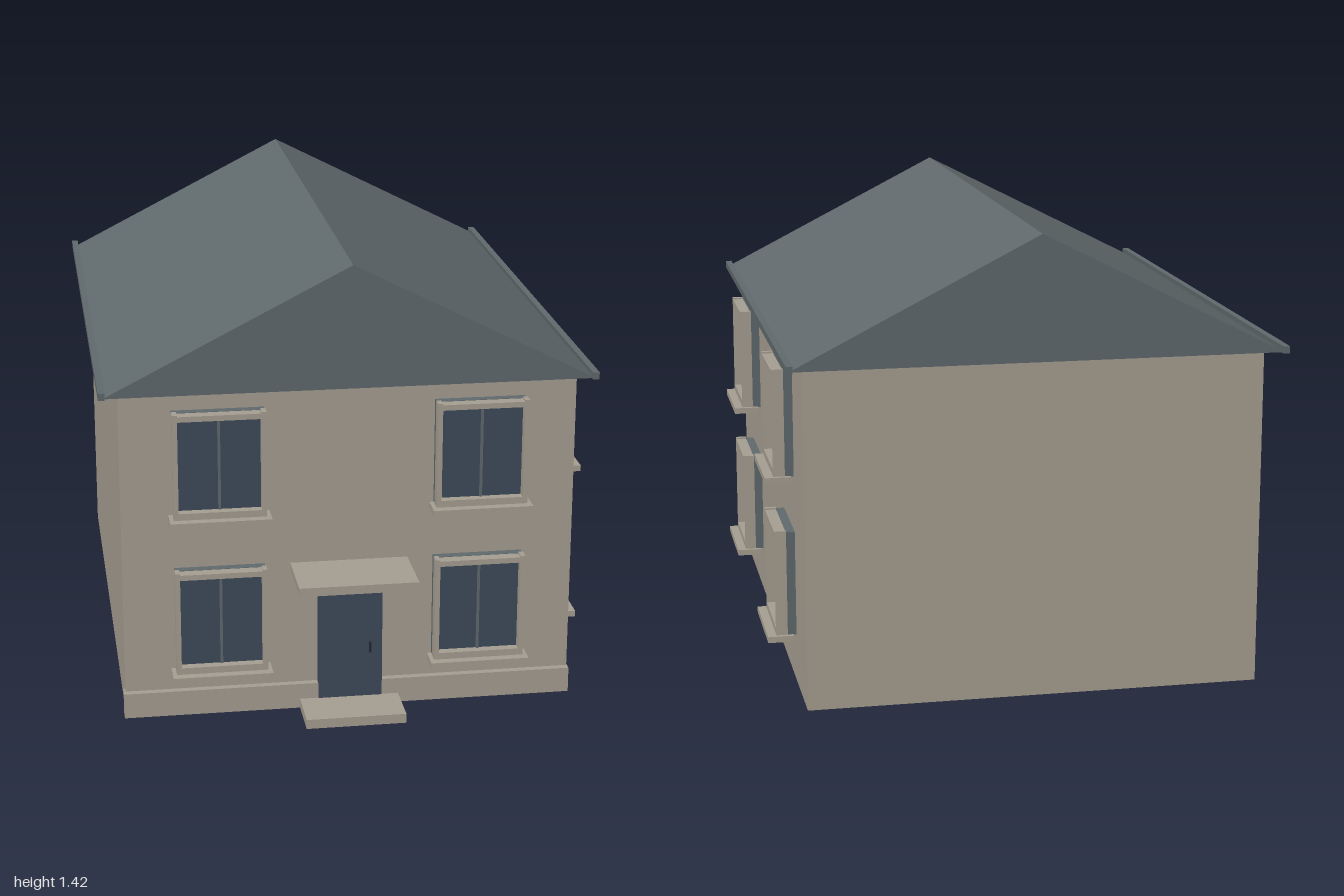
import * as THREE from 'three';

const material = (name, color) => {
  const m = new THREE.MeshStandardMaterial({ color });
  m.name = name;
  return m;
};

export function createModel() {
  const stone = material('stone', 0xa69e91);
  const slate = material('slate', 0x60696c);
  const glass = material('blueGlass', 0x3d4a59);
  const dark = material('darkMetal', 0x23282c);

  const house = new THREE.Group();
  house.name = 'house';

  // Box given by its limits on each axis
  const box = (parent, name, mat, [x0, x1], [y0, y1], [z0, z1]) => {
    const mesh = new THREE.Mesh(new THREE.BoxGeometry(x1 - x0, y1 - y0, z1 - z0), mat);
    mesh.position.set((x0 + x1) / 2, (y0 + y1) / 2, (z0 + z1) / 2);
    mesh.name = name;
    parent.add(mesh);
    return mesh;
  };

  const wallFront = 0.793, wallRight = 0.678;

  // Walls and front plinth
  box(house, 'walls', stone, [-0.71, wallRight], [0, 1.045], [-0.937, wallFront]);
  box(house, 'plinth', stone, [-0.715, 0.68], [0, 0.08], [0.77, 0.815]);

  // Solid gabled roof
  const gable = new THREE.Shape([
    new THREE.Vector2(-0.757, 1.043),
    new THREE.Vector2(0.725, 1.043),
    new THREE.Vector2(-0.016, 1.42),
  ]);
  const roofGeometry = new THREE.ExtrudeGeometry(gable, { depth: 1.837, bevelEnabled: false });
  roofGeometry.translate(0, 0, -0.992);
  const roof = new THREE.Mesh(roofGeometry, slate);
  roof.name = 'roof';
  house.add(roof);

  // Eave gutters along both long sides
  for (const [name, x] of [['leftGutter', 0.723], ['rightGutter', -0.759]]) {
    box(house, name, slate, [x - 0.01, x + 0.01], [1.04, 1.062], [-1, 0.85]);
  }

  // Window: its origin is the bottom centre of the glass on the wall, facing +z
  const addWindow = (name, x, y, z, turn) => {
    const w = new THREE.Group();
    w.name = name;
    const front = [0.027, 0.062];
    box(w, 'windowCasing', slate, [-0.138, 0.138], [-0.02, 0.308], [-0.005, 0.027]);
    box(w, 'pane', glass, [-0.126, 0.126], [0, 0.292], [0.027, 0.034]);
    box(w, 'mullion', slate, [-0.004, 0.004], [0, 0.292], [0.034, 0.04]);
    for (const side of [-1, 1]) {
      const edges = [side * 0.125, side * 0.14].sort((a, b) => a - b);
      box(w, 'frameSide', stone, edges, [-0.02, 0.312], front);
    }
    box(w, 'frameTop', stone, [-0.125, 0.125], [0.29, 0.307], front);
    box(w, 'frameBottom', stone, [-0.125, 0.125], [-0.02, 0.003], front);
    box(w, 'sill', stone, [-0.153, 0.153], [-0.037, -0.018], [0.009, 0.089]);
    w.position.set(x, y, z);
    w.rotation.y = turn;
    house.add(w);
  };
  for (const [floor, y] of [['lower', 0.172], ['upper', 0.674]]) {
    for (const x of [-0.415, 0.381]) addWindow(floor + 'FrontWindow', x, y, wallFront, 0);
    for (const z of [0.394, -0.542]) addWindow(floor + 'SideWindow', wallRight, y, z, Math.PI / 2);
  }

  // Entrance
  box(house, 'door', glass, [-0.115, 0.084], [0.028, 0.42], [0.78, 0.818]);
  box(house, 'doorHandle', dark, [0.043, 0.049], [0.178, 0.212], [0.818, 0.828]);
  box(house, 'doorStep', stone, [-0.172, 0.136], [0, 0.03], [0.78, 0.966]);
  box(house, 'canopy', stone, [-0.198, 0.164], [0.45, 0.477], [0.78, 1]);

  return house;
}
